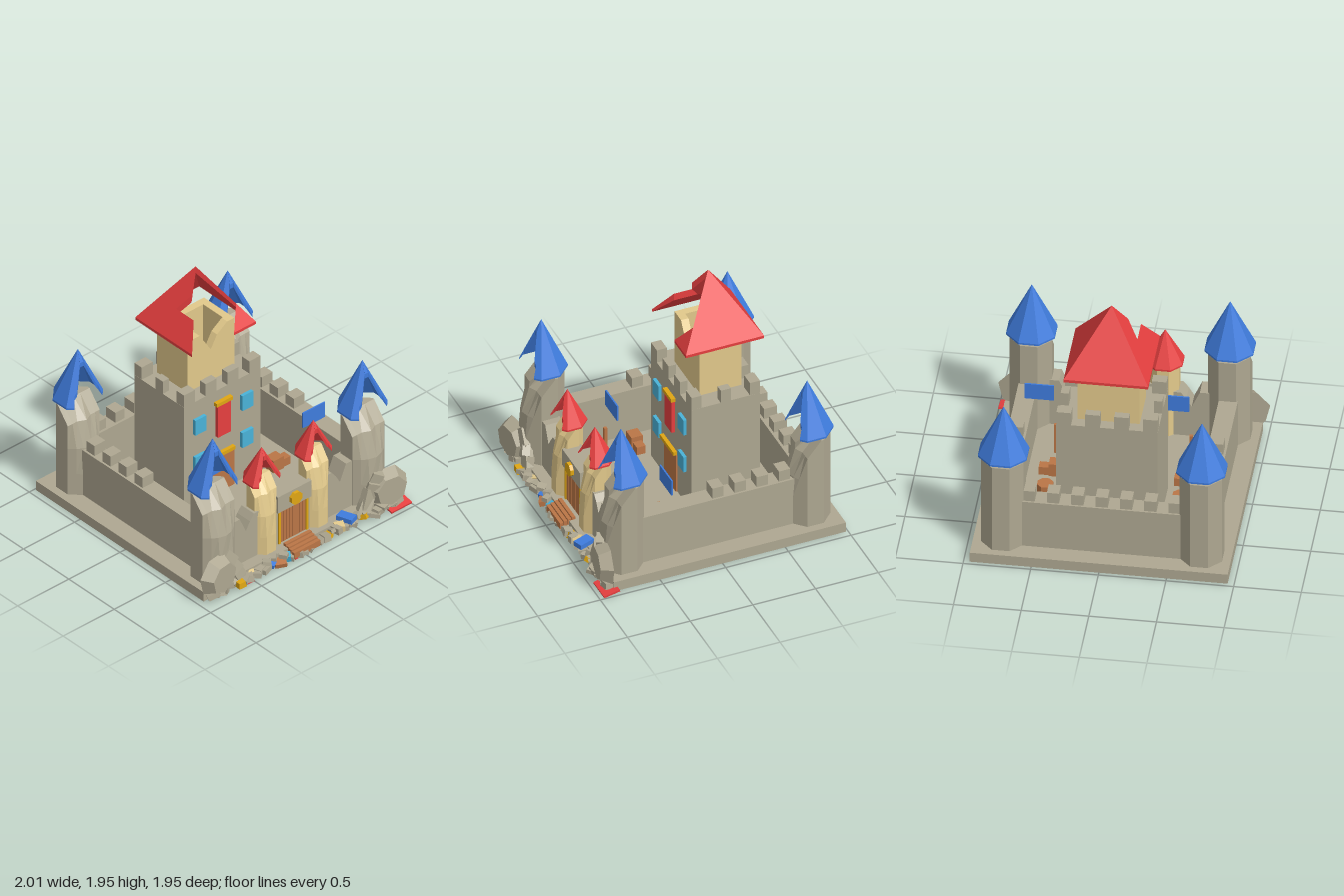
import * as THREE from 'three';

const M = {};
for (const [name, color] of Object.entries({
  stone: 0xaea791, sand: 0xe2c98b, red: 0xe63f3f, blue: 0x3f7cdd,
  wood: 0xba7546, gold: 0xdfa614, glass: 0x4ab2d8,
})) {
  M[name] = new THREE.MeshStandardMaterial({ color });
  M[name].name = name;
}

let seed = 11;
const rnd = (a = 0, b = 1) => {
  seed = (seed * 16807) % 2147483647;
  return a + (b - a) * (seed / 2147483647);
};

const flat = (g) => {
  const f = g.index ? g.toNonIndexed() : g;
  f.computeVertexNormals();
  return f;
};

const add = (parent, name, geo, mat) => {
  const m = new THREE.Mesh(geo, mat);
  m.name = name;
  parent.add(m);
  return m;
};

// Box given by its extents along each axis
const box = (parent, name, mat, [x0, x1], [y0, y1], [z0, z1]) => {
  const m = add(parent, name, new THREE.BoxGeometry(x1 - x0, y1 - y0, z1 - z0), mat);
  m.position.set((x0 + x1) / 2, (y0 + y1) / 2, (z0 + z1) / 2);
  return m;
};

// Roof panel: plan outline of [x, z] points lifted to a height rule, with a flat lower rim
function panel(parent, name, mat, plan, height, t, rim) {
  const shape = new THREE.Shape(plan.map(([x, z]) => new THREE.Vector2(x, -z)));
  const g = new THREE.ExtrudeGeometry(shape, { depth: 1, bevelEnabled: false });
  g.rotateX(-Math.PI / 2);
  const p = g.attributes.position;
  for (let i = 0; i < p.count; i++) {
    const h = height(p.getX(i), p.getZ(i));
    p.setY(i, p.getY(i) > 0.5 ? h : Math.max(h - t, rim));
  }
  add(parent, name, flat(g), mat);
}

// Eight-sided roof with its front broken open; r is the distance to a flat side
function brokenCone(parent, mat, r, y0, y1) {
  const dirs = Array.from({ length: 8 }, (_, k) => k * Math.PI / 4);
  const height = (x, z) => y1 - (y1 - y0) / r *
    Math.max(...dirs.map((a) => x * Math.sin(a) + z * Math.cos(a)));
  const R = r / Math.cos(Math.PI / 8);
  const corner = (a) => [R * Math.sin(a), R * Math.cos(a)];
  dirs.forEach((a, k) => {
    let plan = [[0, 0], corner(a - Math.PI / 8), corner(a + Math.PI / 8)];
    if (k === 0) plan = [[0, 0], [-0.09 * r, 0.24 * r], [0.09 * r, 0.24 * r]];
    if (k === 1 || k === 7) {
      const s = k === 1 ? 1 : -1;
      plan = [[0, 0], [s * r, 0.414 * r], [s * 0.76 * r, 0.654 * r],
        [s * 0.62 * r, 0.5 * r], [s * 0.5 * r, 0.52 * r], [s * 0.1 * r, 0.24 * r]];
    }
    panel(parent, 'roofPanel', mat, plan, height, 0.04, y0 - 0.015);
  });
}

// Eight-sided tower whose upper front has crumbled away, more so at the corners
function tower(parent, name, x, z, r, top, mat, roof) {
  const g = new THREE.Group();
  g.name = name;
  g.position.set(x, 0, z);
  parent.add(g);
  const geo = new THREE.CylinderGeometry(r * 1.08, r * 1.08, 1, 16, 4);
  const p = geo.attributes.position;
  // Each row: height fraction, furthest front, extra loss at the corners
  const rows = [[0, 1, 0], [0.25, 1, 0], [0.55, 1, 0.12], [0.82, 0.62, 0.2], [1, -0.3, 0]];
  for (let i = 0; i < p.count; i++) {
    const [f, front, loss] = rows[Math.round((p.getY(i) + 0.5) * 4)];
    const px = p.getX(i), pz = p.getZ(i);
    const even = Math.round(Math.atan2(px, pz) / (Math.PI / 8)) % 2 === 0;
    const k = even ? Math.cos(Math.PI / 8) : 1;
    const lim = r * (front - (Math.abs(px) > 0.2 * r ? loss : 0));
    p.setXYZ(i, px * k, 0.08 + f * (top - 0.08), Math.min(pz * k, lim));
  }
  add(g, 'towerBody', flat(geo), mat);
  brokenCone(g, roof.mat, roof.r, roof.y0, roof.y1);
}

function keep(root) {
  const g = new THREE.Group();
  g.name = 'keep';
  root.add(g);
  box(g, 'keepBody', M.stone, [-0.375, 0.375], [0.08, 1], [-0.545, 0]);
  // Battlements
  for (const x of [-0.32, -0.107, 0.107, 0.32]) {
    const d = Math.abs(x) > 0.2 ? 0.08 : 0.06;
    box(g, 'keepMerlon', M.stone, [x - 0.054, x + 0.054], [1, 1.11], [-d, 0]);
    box(g, 'keepMerlon', M.stone, [x - 0.054, x + 0.054], [1, 1.11], [-0.545, -0.545 + d]);
  }
  for (const x of [-0.375, 0.315]) {
    box(g, 'keepMerlon', M.stone, [x, x + 0.06], [1, 1.11], [-0.313, -0.232]);
  }
  // Hollow upper tower with a notch broken out of the front
  box(g, 'upperBack', M.sand, [-0.23, 0.23], [1, 1.455], [-0.46, -0.4]);
  for (const x of [-0.23, 0.17]) {
    box(g, 'upperSide', M.sand, [x, x + 0.06], [1, 1.455], [-0.4, -0.185]);
  }
  const wall = new THREE.Shape([[-0.23, 1], [0.23, 1], [0.23, 1.455], [0.16, 1.455], [0.11, 1.42],
    [0.06, 1.385], [0, 1.28], [-0.11, 1.455], [-0.23, 1.455]].map((q) => new THREE.Vector2(...q)));
  add(g, 'upperFront', new THREE.ExtrudeGeometry(wall, { depth: 0.06, bevelEnabled: false }), M.sand)
    .position.z = -0.185;
  // Broken pyramid roof
  const roof = new THREE.Group();
  roof.name = 'keepRoof';
  roof.position.z = -0.293;
  g.add(roof);
  const r = 0.312;
  const height = (x, z) => 1.94 - 0.48 * Math.max(Math.abs(x), Math.abs(z)) / r;
  [
    [[0, 0], [r, -r], [-r, -r]],
    [[0, 0], [r, r], [r, -r]],
    [[0, 0], [-r, -r], [-r, r], [-0.19, 0.19], [-0.19, 0], [-0.11, 0.08]],
    [[0.21, 0.21], [r, r], [0.1, r]],
  ].forEach((plan) => panel(roof, 'keepRoofPanel', M.red, plan, height, 0.06, 1.437));
  // Door, windows and banner
  box(g, 'keepDoor', M.wood, [-0.11, 0.11], [0.08, 0.41], [0, 0.012]);
  box(g, 'keepDoorLintel', M.gold, [-0.145, 0.105], [0.41, 0.44], [0, 0.03]);
  for (const x of [-0.23, 0.23]) {
    for (const y of [0.38, 0.715]) {
      box(g, 'keepWindow', M.glass, [x - 0.053, x + 0.053], [y, y + 0.135], [0, 0.026]);
    }
  }
  box(g, 'banner', M.red, [-0.063, 0.063], [0.59, 0.876], [0, 0.026]);
  box(g, 'bannerRail', M.gold, [-0.08, 0.077], [0.876, 0.906], [0, 0.035]);
}

function walls(root) {
  const g = new THREE.Group();
  g.name = 'outerWalls';
  root.add(g);
  box(g, 'backWall', M.stone, [-0.62, 0.62], [0.08, 0.485], [-0.84, -0.7]);
  for (let i = -3; i <= 3; i++) {
    const x = i * 0.18;
    box(g, 'wallMerlon', M.stone, [x - 0.045, x + 0.045], [0.485, 0.575], [-0.825, -0.72]);
  }
  for (const s of [-1, 1]) {
    const x = s * 0.74;
    box(g, 'sideWall', M.stone, [x - 0.07, x + 0.07], [0.08, 0.485], [-0.65, 0.6]);
    for (let i = 0; i < 4; i++) {
      const z = -0.028 - i * 0.177;
      box(g, 'wallMerlon', M.stone, [x - 0.053, x + 0.053], [0.485, 0.575], [z - 0.045, z + 0.045]);
    }
    // Cracked front wall
    const pts = [[0.14, 0.08], [0.62, 0.08], [0.62, 0.485], [0.52, 0.485], [0.5, 0.44], [0.46, 0.35],
      [0.42, 0.42], [0.38, 0.47], [0.14, 0.485]].map(([a, b]) => new THREE.Vector2(s * a, b));
    add(g, 'frontWall', new THREE.ExtrudeGeometry(new THREE.Shape(pts),
      { depth: 0.14, bevelEnabled: false }), M.stone).position.z = 0.64;
  }
}

function gate(root) {
  const g = new THREE.Group();
  g.name = 'gate';
  root.add(g);
  box(g, 'gateLintel', M.stone, [-0.165, 0.165], [0.375, 0.52], [0.65, 0.8]);
  box(g, 'gateDoor', M.wood, [-0.13, 0.13], [0.08, 0.38], [0.72, 0.765]);
  for (let i = 0; i < 8; i++) {
    const x = -0.125 + i * 0.0315;
    box(g, 'doorPlank', M.wood, [x, x + 0.027], [0.08, 0.375], [0.76, 0.78]);
  }
  for (const x of [-0.135, 0.135]) {
    box(g, 'doorJamb', M.gold, [x - 0.01, x + 0.01], [0.08, 0.375], [0.74, 0.79]);
  }
  const disc = new THREE.CylinderGeometry(0.055, 0.055, 0.03, 8).rotateY(Math.PI / 8).rotateX(Math.PI / 2);
  add(g, 'gateEmblem', flat(disc), M.gold).position.set(0, 0.45, 0.812);
  // Broken bridge planks
  for (let i = 0; i < 4; i++) {
    box(g, 'bridgePlank', M.wood, [-0.128, 0.125], [0.06 - i * 0.012, 0.105 - i * 0.01],
      [0.82 + i * 0.031, 0.848 + i * 0.031]);
  }
}

function courtyard(root) {
  const g = new THREE.Group();
  g.name = 'courtyard';
  root.add(g);
  for (const x of [-0.5, 0.5]) {
    const b = add(g, 'barrel', flat(new THREE.CylinderGeometry(0.062, 0.062, 0.13, 8).rotateY(Math.PI / 8)), M.wood);
    b.position.set(x, 0.145, -0.235);
    box(g, 'crate', M.wood, [x - 0.09, x + 0.01], [0.08, 0.19], [0.015, 0.105]);
    box(g, 'lowCrate', M.wood, [x - 0.06, x + 0.085], [0.08, 0.15], [0.025, 0.095]);
    box(g, 'flagPole', M.wood, [x - 0.014, x + 0.01], [0.08, 0.34], [0.298, 0.322]);
    box(g, 'flag', M.blue, [x + 0.012, x + 0.228], [0.557, 0.69], [0.304, 0.316]);
  }
}

function rubble(root) {
  const g = new THREE.Group();
  g.name = 'rubble';
  root.add(g);
  // Fallen boulders beside the front towers, with slabs leaning inwards
  for (const s of [-1, 1]) {
    const geo = new THREE.CylinderGeometry(0.13, 0.18, 0.09, 7).rotateX(Math.PI / 2).scale(1, 0.95, 1);
    const b = add(g, 'boulder', flat(geo), M.stone);
    b.position.set(s * 0.825, 0.19, 0.91);
    b.rotation.y = -s * 0.15;
    for (let i = 0; i < 4; i++) {
      const c = add(g, 'slab', new THREE.BoxGeometry(0.09, rnd(0.12, 0.2), 0.06), M.stone);
      c.position.set(s * (0.62 + i * 0.03), 0.1 + i * 0.06, 0.87);
      c.rotation.set(rnd(-0.4, 0.2), rnd(-0.5, 0.5), -s * rnd(0.2, 0.8));
    }
  }
  // Scattered debris, lower in front of the gate
  const kinds = { 7: M.gold, 11: M.sand, 16: M.blue, 18: M.wood, 20: M.glass, 22: M.sand, 27: M.wood,
    31: M.gold, 34: M.sand, 40: M.gold };
  for (let i = 0; i < 50; i++) {
    const c = add(g, 'debris', new THREE.BoxGeometry(rnd(0.04, 0.1), rnd(0.025, 0.055), rnd(0.04, 0.09)),
      kinds[i] || M.stone);
    const x = -0.9 + 1.8 * (i / 49);
    c.position.set(x, Math.abs(x) < 0.16 ? 0.03 : rnd(0.03, 0.075), rnd(0.86, 0.92));
    c.rotation.set(rnd(-0.3, 0.3), rnd(0, 3), rnd(-0.3, 0.3));
  }
  const tile = box(g, 'fallenBlueTile', M.blue, [0.39, 0.47], [0.08, 0.12], [0.82, 0.95]);
  tile.rotation.y = 0.35;
  const shard = box(g, 'fallenRedTile', M.red, [0.8, 0.998], [0.01, 0.025], [0.84, 0.97]);
  shard.rotation.x = 0.2;
  for (const x of [-0.57, -0.05]) {
    box(g, 'buriedRedTile', M.red, [x - 0.06, x + 0.06], [0.002, 0.012], [0.87, 0.93]);
  }
}

export function createModel() {
  const root = new THREE.Group();
  root.name = 'ruinedCastle';
  box(root, 'base', M.stone, [-0.953, 0.953], [0, 0.082], [-0.98, 0.87]);
  walls(root);
  keep(root);
  gate(root);
  for (const s of [-1, 1]) {
    const blueRoof = { mat: M.blue, r: 0.18, y0: 0.88, y1: 1.29 };
    tower(root, 'backTower', s * 0.733, -0.765, 0.157, 0.835, M.stone, blueRoof);
    tower(root, 'frontTower', s * 0.733, 0.72, 0.157, 0.835, M.stone, blueRoof);
    tower(root, 'gateTower', s * 0.253, 0.72, 0.108, 0.7, M.sand,
      { mat: M.red, r: 0.135, y0: 0.71, y1: 0.98 });
  }
  courtyard(root);
  rubble(root);
  return root;
}
